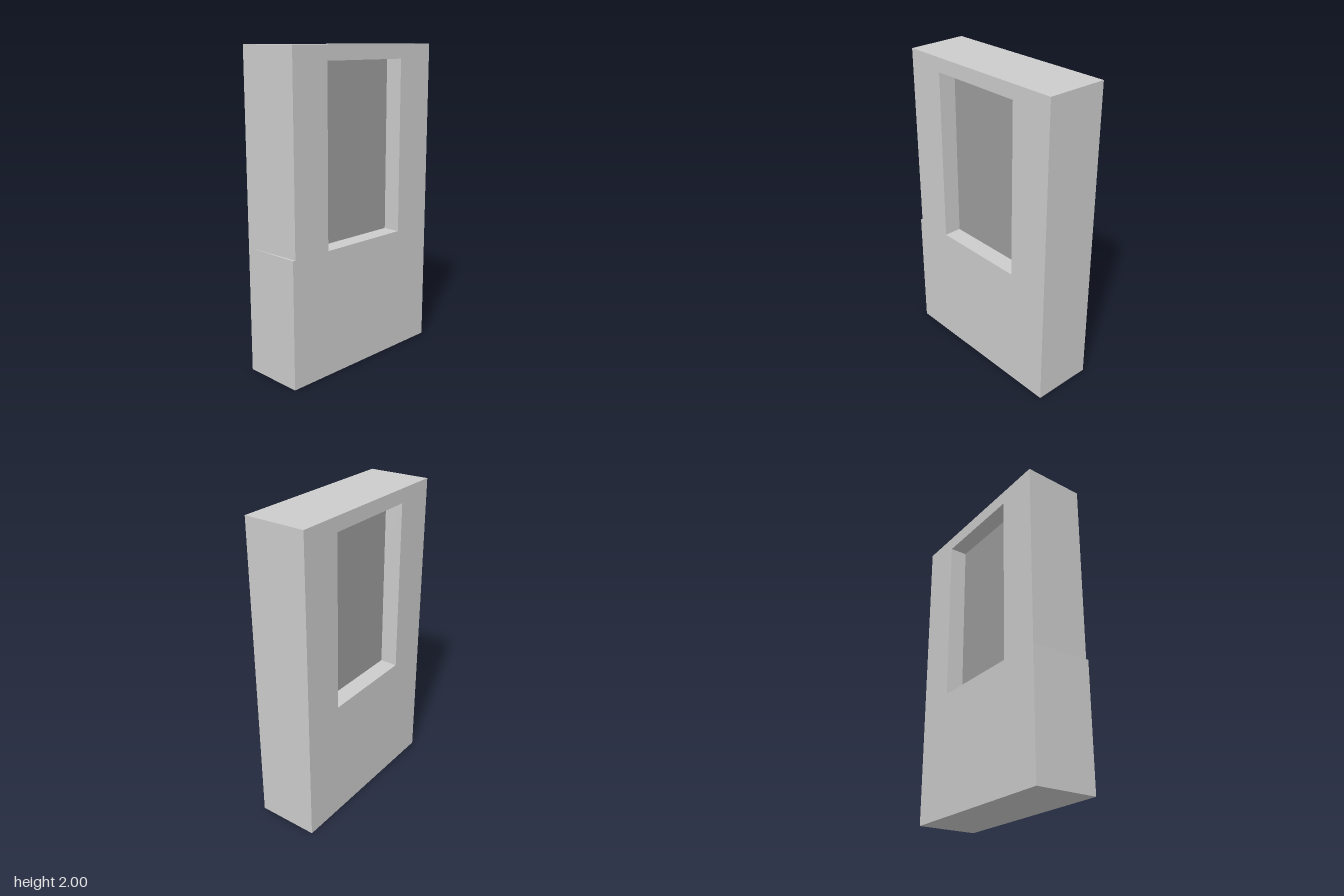
import * as THREE from 'three';

const WIDTH = 0.4, DEPTH = 1.2, SILL = 0.8, TOP = 2;
const OPENING_HALF = 0.32, OPENING_TOP = 1.91, PANE_WIDTH = 0.17, TAPER = 0.018;

export function createModel() {
  const group = new THREE.Group();
  const grey = new THREE.MeshStandardMaterial({ color: 0xcccccc });
  const dark = new THREE.MeshStandardMaterial({ color: 0x9c9c9c });

  const add = (name, geometry, material, y = 0) => {
    const mesh = new THREE.Mesh(geometry, material);
    mesh.name = name;
    mesh.position.y = y;
    group.add(mesh);
  };

  // Solid lower wall
  add('lowerWall', new THREE.BoxGeometry(WIDTH, SILL, DEPTH), grey, SILL / 2);

  // Window surround: an inverted U standing on the lower wall
  const h = DEPTH / 2, o = OPENING_HALF;
  const outline = [
    [-h, SILL], [-o, SILL], [-o, OPENING_TOP], [o, OPENING_TOP],
    [o, SILL], [h, SILL], [h, TOP], [-h, TOP],
  ].map(([u, v]) => new THREE.Vector2(u, v));
  const frame = new THREE.ExtrudeGeometry(new THREE.Shape(outline), { depth: WIDTH, bevelEnabled: false });
  frame.translate(0, 0, -WIDTH / 2).rotateY(Math.PI / 2);

  // The upper front slopes back slightly towards +x, leaving a thin ledge
  const p = frame.attributes.position;
  for (let i = 0; i < p.count; i++) {
    if (p.getZ(i) > h - 0.01 && p.getX(i) > 0) p.setZ(i, h - TAPER);
  }
  frame.computeVertexNormals();
  add('windowSurround', frame, grey);

  // Dark pane, recessed from both sides
  const paneHeight = OPENING_TOP - SILL;
  add('windowPane', new THREE.BoxGeometry(PANE_WIDTH, paneHeight, 2 * o), dark, SILL + paneHeight / 2);

  return group;
}
